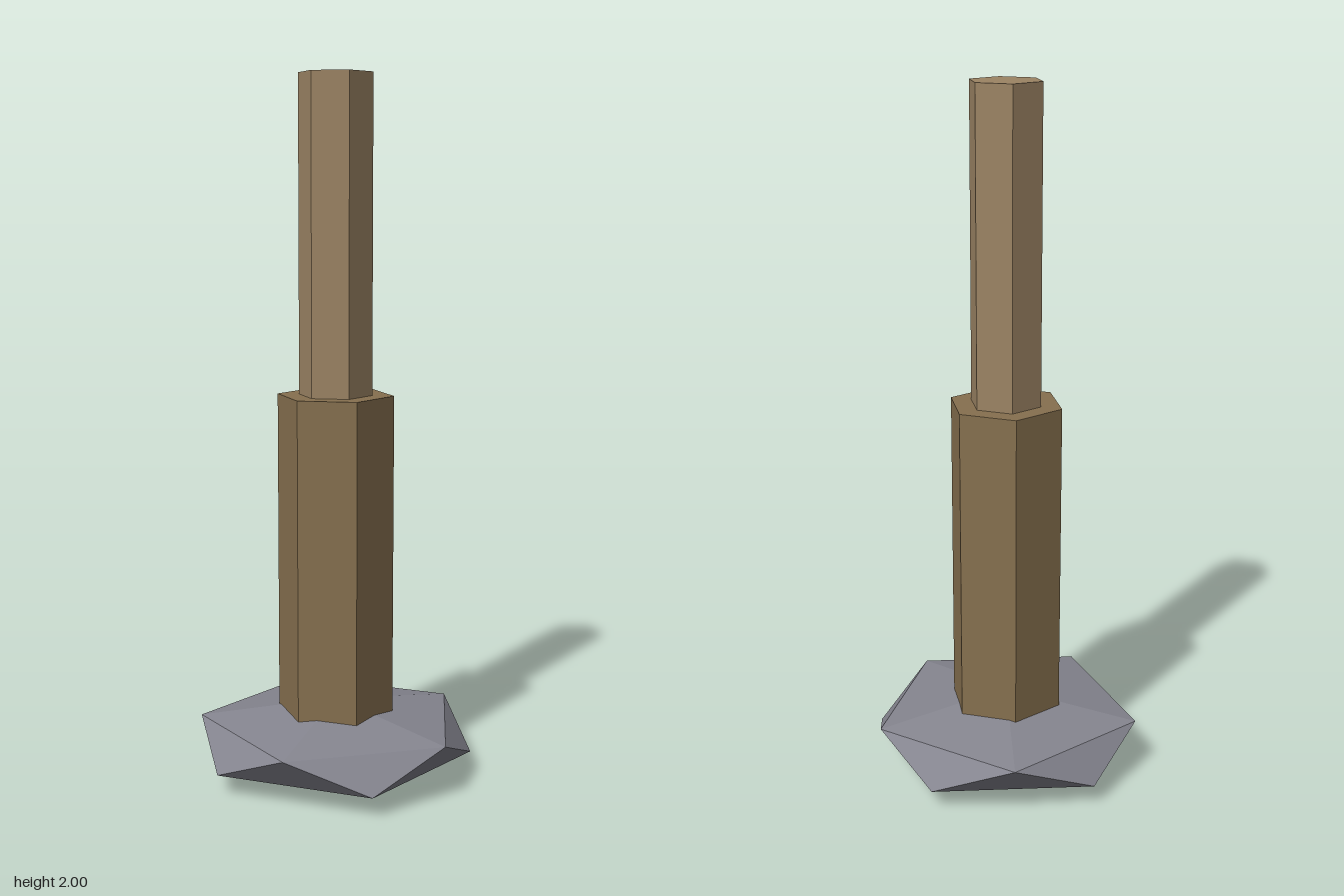
import * as THREE from 'three';

const material = (color) => new THREE.MeshStandardMaterial({ color, flatShading: true });

// Upright six-sided post with corners facing front and back
function hexPost(name, radius, bottom, top, color) {
  const geometry = new THREE.CylinderGeometry(radius, radius, top - bottom, 6);
  const post = new THREE.Mesh(geometry, material(color));
  post.name = name;
  post.position.y = (bottom + top) / 2;
  return post;
}

export function createModel() {
  const model = new THREE.Group();
  model.name = 'post';

  // Faceted stone: an icosahedron turned onto one corner, then flattened
  const halfHeight = 0.108;
  const stone = new THREE.IcosahedronGeometry(0.44, 0);
  stone.rotateZ(-Math.atan(2 / (1 + Math.sqrt(5))));
  stone.scale(1, halfHeight / 0.44, 1);
  stone.translate(0, halfHeight, 0);
  stone.computeVertexNormals();
  const base = new THREE.Mesh(stone, material(0x85858f));
  base.name = 'stoneBase';
  model.add(base);

  // Thick lower shaft and thin upper shaft
  model.add(hexPost('lowerShaft', 0.167, 0.108, 1.107, 0x86704f));
  model.add(hexPost('upperShaft', 0.105, 1.107, 2, 0x9c8464));

  return model;
}
